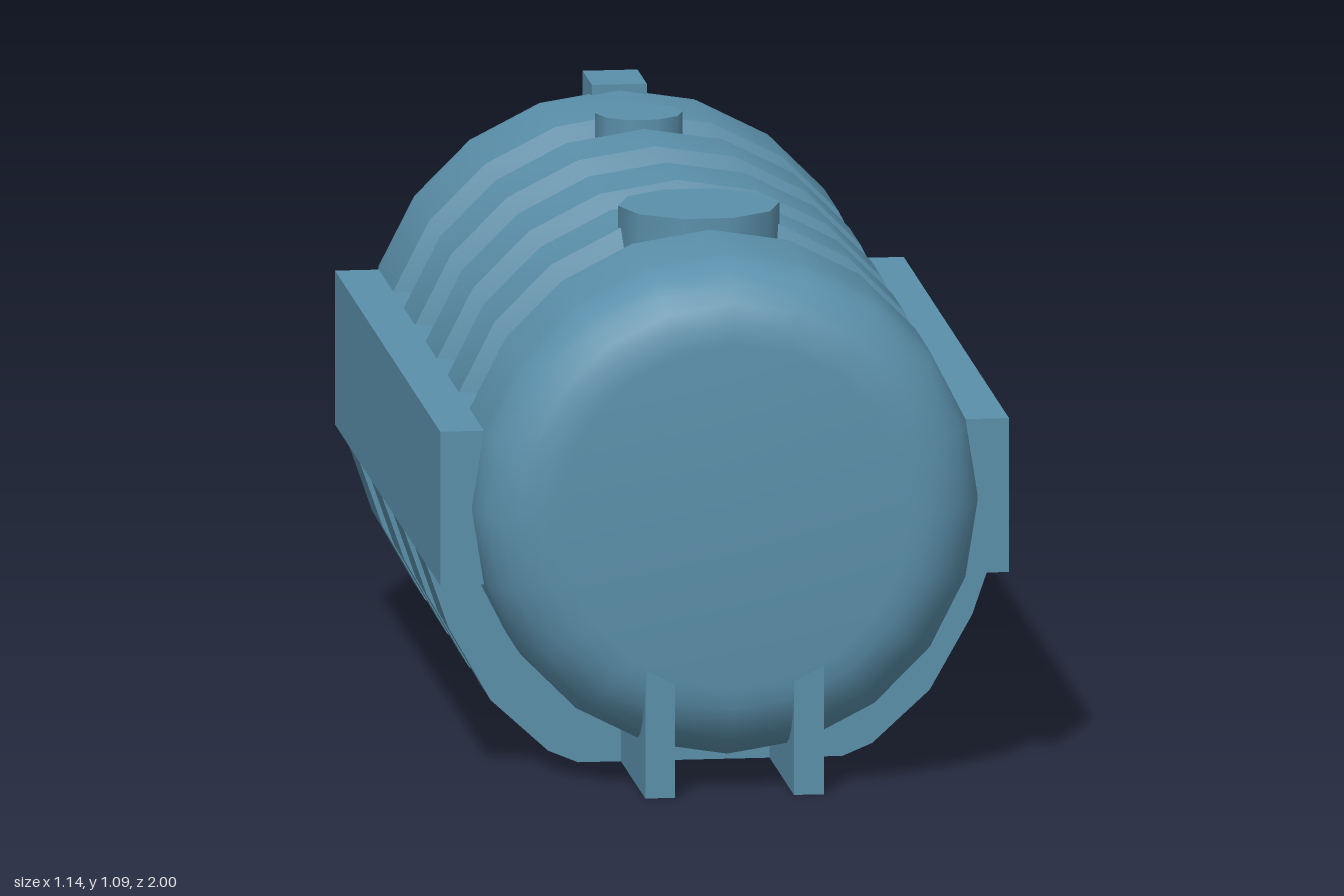
import * as THREE from 'three';
import { toCreasedNormals } from 'three/addons/utils/BufferGeometryUtils.js';

const AXIS_Y = 0.566;   // height of the tank axis
const R = 0.507;        // tank radius
const GROOVE_R = 0.465;
const GROOVES = [-0.525, -0.175, 0.175, 0.525]; // groove and saddle centres along z
const HALF = 0.085;     // half width of a groove

export function createModel() {
  const group = new THREE.Group();
  const material = new THREE.MeshStandardMaterial({ color: 0x5b90ab });

  const add = (name, geometry, x = 0, y = 0, z = 0) => {
    const mesh = new THREE.Mesh(geometry, material);
    mesh.name = name;
    mesh.position.set(x, y, z);
    group.add(mesh);
    return mesh;
  };
  const box = (name, w, h, d, x, y, z) => add(name, new THREE.BoxGeometry(w, h, d), x, y, z);

  // Tank: lathed profile with rounded ends and four bevelled grooves
  const corner = 0.157, steps = 6;
  const profile = [new THREE.Vector2(0, -1)];
  for (let i = 0; i <= steps; i++) {
    const a = (i / steps) * Math.PI / 2;
    profile.push(new THREE.Vector2(R - corner + corner * Math.sin(a), -1 + corner * (1 - Math.cos(a))));
  }
  for (const z of GROOVES) {
    profile.push(
      new THREE.Vector2(R, z - HALF),
      new THREE.Vector2(GROOVE_R, z - HALF + 0.016),
      new THREE.Vector2(GROOVE_R, z + HALF - 0.016),
      new THREE.Vector2(R, z + HALF));
  }
  for (let i = steps; i >= 0; i--) {
    const a = (i / steps) * Math.PI / 2;
    profile.push(new THREE.Vector2(R - corner + corner * Math.sin(a), 1 - corner * (1 - Math.cos(a))));
  }
  profile.push(new THREE.Vector2(0, 1));
  const tank = new THREE.LatheGeometry(profile, 20);
  tank.rotateX(Math.PI / 2);
  add('tank', toCreasedNormals(tank, 0.6), 0, AXIS_Y, 0);

  // Saddles cradling the tank at each groove
  const half = [[0.265, 0], [0.325, 0.025], [0.44, 0.13], [0.525, 0.28], [0.57, 0.41]];
  const outline = [
    ...half,
    [0.42, 0.41], [-0.42, 0.41],
    ...half.map(([x, y]) => [-x, y]).reverse(),
  ].map(([x, y]) => new THREE.Vector2(x, y));
  const saddle = new THREE.ExtrudeGeometry(new THREE.Shape(outline), { depth: 2 * HALF, bevelEnabled: false });
  saddle.translate(0, 0, -HALF);
  for (const z of GROOVES) add('saddle', saddle, 0, 0, z);

  // Side rails and the lengthwise skids underneath
  for (const s of [-1, 1]) {
    box('sideRail', 0.15, 0.312, 1.68, s * 0.495, 0.566, 0);
    box('skid', 0.06, 0.3, 1.998, s * 0.149, 0.15, 0);
  }

  // Round hatches on top
  const hatch = (name, r, top, z) => {
    const g = new THREE.CylinderGeometry(r, r, 0.2, 10);
    g.rotateY(Math.PI / 2);
    add(name, toCreasedNormals(g, 0.7), 0, top - 0.1, z);
  };
  hatch('largeHatch', 0.162, 1.09, 0.427);
  hatch('smallHatch', 0.088, 1.09, -0.53);

  // Block at the upper rear edge
  box('rearBlock', 0.11, 0.185, 0.148, 0, 0.993, -0.915);

  return group;
}
